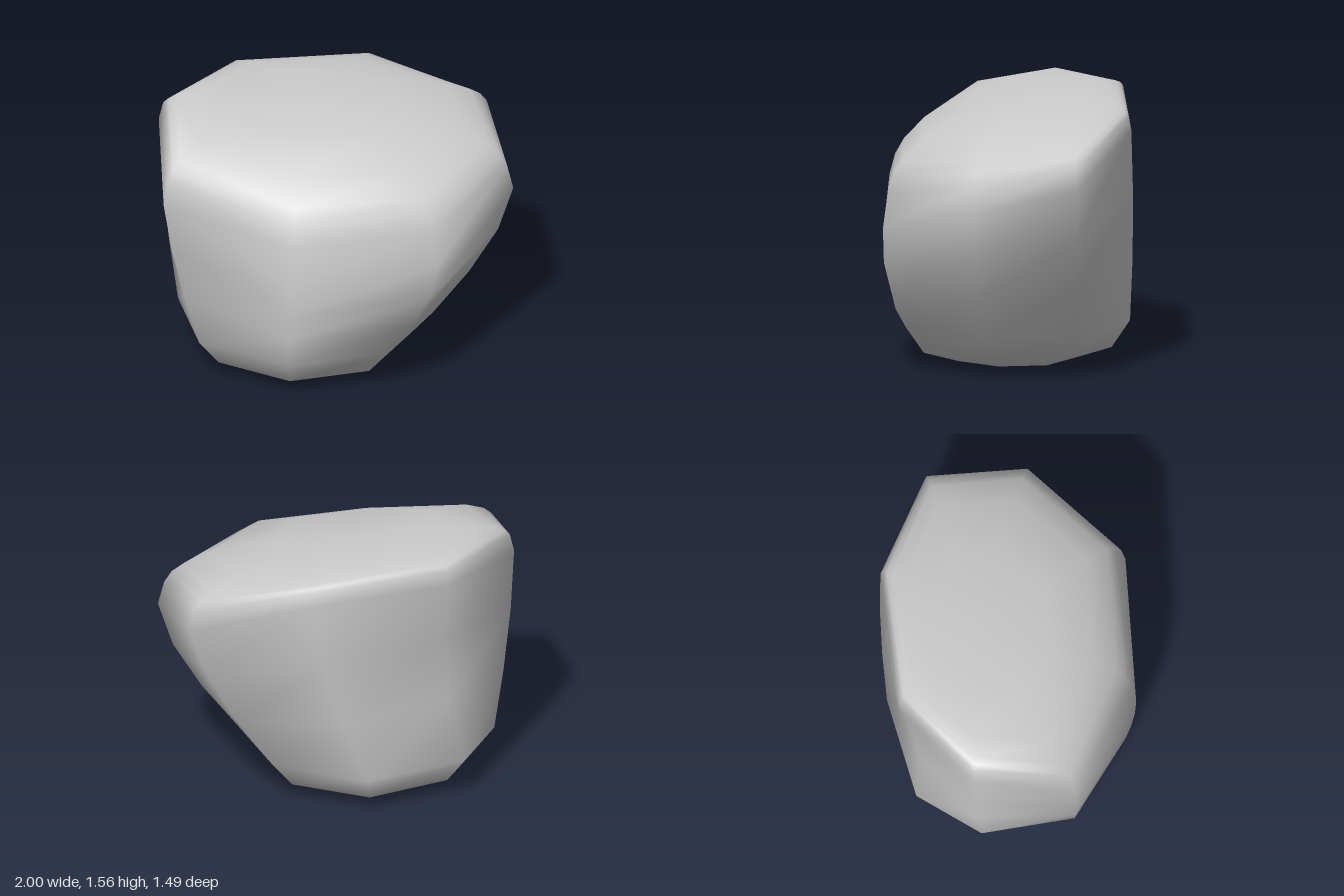
import * as THREE from 'three';

// Eight vertical edges, counter-clockwise from above:
// foot x, foot z, widest x, widest z, height of widest point,
// hollow of the wall (negative bulges), softness of the shoulder (low is sharp)
const EDGES = [
  [-0.89, -0.05, -1.00, -0.08, 1.39, -0.01, 0.6],
  [-0.74, 0.46, -0.94, 0.49, 1.15, 0, 1],
  [-0.23, 0.69, -0.20, 0.745, 0.78, -0.01, 1],
  [0.31, 0.52, 0.61, 0.59, 0.87, -0.04, 1],
  [0.55, 0.03, 1.00, 0.00, 1.05, -0.02, 1],
  [0.37, -0.46, 0.85, -0.57, 1.17, 0, 0.9],
  [-0.16, -0.67, 0.17, -0.745, 1.40, -0.02, 0.6],
  [-0.71, -0.44, -0.62, -0.55, 1.42, 0.13, 0.6],
];
const BASE_X = -0.2; // axis of the underside and wall
const CROWN_X = -0.17, CROWN_Z = -0.17; // centre of the top
const FOOT_Y = 0.25;

// rounded underside: [x scale, z scale of the foot ring, height]
const UNDER = [[0.5, 0.53, 0.02], [0.81, 0.84, 0.09], [1, 1, FOOT_Y]];
// position along the wall between foot and widest point
const WALL = [0.33, 0.67];
// rounded crown: [scale of the widest ring, share of the remaining height]
const CROWN = [[1, 0], [0.97, 0.34], [0.935, 0.5], [0.88, 0.62], [0.75, 0.79], [0.47, 0.96]];

const topY = (x, z) => 1.525 - 0.06 * x - 0.04 * z;

function rockGeometry() {
  const n = EDGES.length;
  const rings = [];
  for (const [sx, sz, y] of UNDER) {
    rings.push(EDGES.map(([fx, fz]) => [BASE_X + (fx - BASE_X) * sx, y, fz * sz]));
  }
  for (const t of WALL) {
    const k = (t + Math.sin(t * Math.PI / 2)) / 2;
    rings.push(EDGES.map(([fx, fz, wx, wz, wy, hollow]) => {
      const s = 1 - hollow * Math.sin(t * Math.PI);
      const x = fx + (wx - fx) * k, z = fz + (wz - fz) * k;
      return [BASE_X + (x - BASE_X) * s, FOOT_Y + (wy - FOOT_Y) * t, z * s];
    }));
  }
  for (const [s, h] of CROWN) {
    rings.push(EDGES.map(([, , wx, wz, wy, , soft]) => {
      const x = CROWN_X + (wx - CROWN_X) * s, z = CROWN_Z + (wz - CROWN_Z) * s;
      return [x, wy + (topY(x, z) - wy) * h ** soft, z];
    }));
  }

  // skin the rings and close both ends with a centre point
  const points = rings.flat();
  const bottom = points.push([BASE_X, 0, 0]) - 1;
  const top = points.push([CROWN_X, topY(CROWN_X, CROWN_Z), CROWN_Z]) - 1;
  const last = (rings.length - 1) * n;
  const index = [];
  for (let j = 0; j < n; j++) {
    const k = (j + 1) % n;
    index.push(bottom, k, j, last + j, last + k, top);
    for (let r = 0; r < last; r += n) {
      index.push(r + j, r + k, r + n + k, r + j, r + n + k, r + n + j);
    }
  }
  const geometry = new THREE.BufferGeometry();
  geometry.setAttribute('position', new THREE.Float32BufferAttribute(points.flat(), 3));
  geometry.setIndex(index);
  geometry.computeVertexNormals();
  return geometry;
}

export function createModel() {
  const group = new THREE.Group();
  group.name = 'rock';
  const boulder = new THREE.Mesh(rockGeometry(), new THREE.MeshStandardMaterial({ color: 0xcccccc }));
  boulder.name = 'boulder';
  group.add(boulder);
  return group;
}
